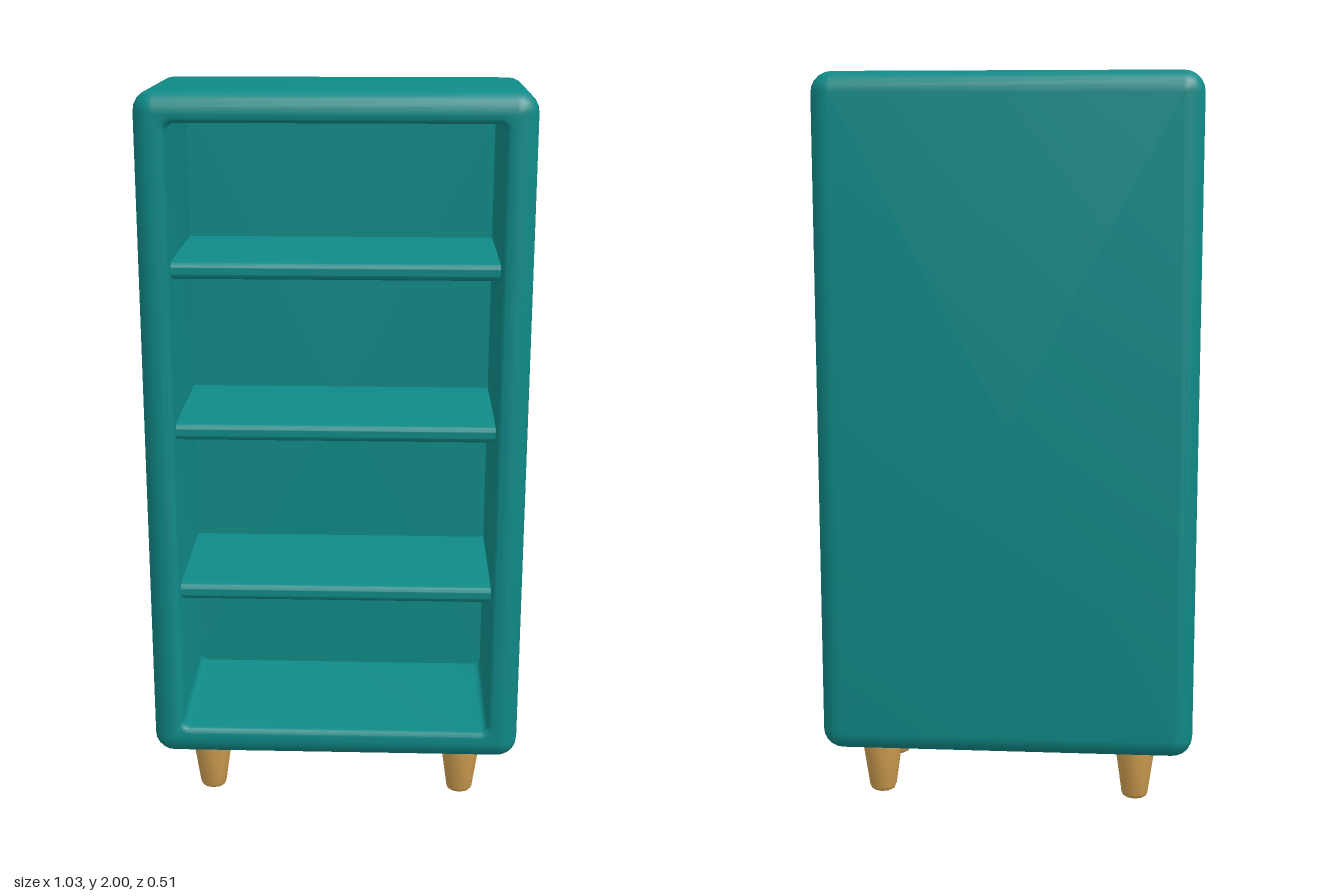
import * as THREE from 'three';
import { toCreasedNormals } from 'three/addons/utils/BufferGeometryUtils.js';

const teal = new THREE.MeshStandardMaterial({ color: 0x0f8a87 });
teal.name = 'teal paint';
const wood = new THREE.MeshStandardMaterial({ color: 0xd4a253 });
wood.name = 'light wood';

const CORNER_STEPS = 5;

// Counterclockwise rounded rectangle in the plane z
function ring(halfW, halfH, r, z, cy) {
  const pts = [];
  const signs = [[1, 1], [-1, 1], [-1, -1], [1, -1]];
  signs.forEach(([sx, sy], q) => {
    for (let i = 0; i <= CORNER_STEPS; i++) {
      const a = (q + i / CORNER_STEPS) * Math.PI / 2;
      pts.push([sx * (halfW - r) + r * Math.cos(a), cy + sy * (halfH - r) + r * Math.sin(a), z]);
    }
  });
  return pts;
}

// Skin joining consecutive rings
function loft(rings) {
  const n = rings[0].length;
  const index = [];
  for (let i = 0; i < rings.length - 1; i++) {
    for (let j = 0; j < n; j++) {
      const a = i * n + j, b = i * n + (j + 1) % n;
      index.push(a, b, b + n, a, b + n, a + n);
    }
  }
  const geo = new THREE.BufferGeometry();
  geo.setAttribute('position', new THREE.Float32BufferAttribute(rings.flat(2), 3));
  geo.setIndex(index);
  return toCreasedNormals(geo, 0.6);
}

// Hollow cabinet: rounded outer shell, front rim, rounded lip, inner walls and back
function cabinetGeometry() {
  const W = 0.515, H = 0.9275, D = 0.257, R = 0.056, cy = 1.0725;
  const w = 0.43, h = 0.843, lip = 0.017, innerR = 0.02, icy = 1.076, innerBack = -0.2;
  const steps = 5;
  const rings = [ring(0, 0, 0, -D, cy)];
  for (let i = 0; i <= steps; i++) {
    const t = i / steps * Math.PI / 2, s = R * (1 - Math.sin(t));
    rings.push(ring(W - s, H - s, R - s, -D + R * (1 - Math.cos(t)), cy));
  }
  for (let i = 0; i <= steps; i++) {
    const t = i / steps * Math.PI / 2, s = R * (1 - Math.cos(t));
    rings.push(ring(W - s, H - s, R - s, D - R * (1 - Math.sin(t)), cy));
  }
  for (let i = 0; i <= steps; i++) {
    const t = i / steps * Math.PI / 2, s = lip * (1 - Math.sin(t));
    rings.push(ring(w + s, h + s, innerR + s, D - lip * (1 - Math.cos(t)), icy));
  }
  rings.push(ring(w, h, innerR, innerBack, icy));
  rings.push(ring(0, 0, 0, innerBack, icy));
  return loft(rings);
}

// Shelf board with a rounded front edge, running along x
function shelfGeometry() {
  const t = 0.046, r = 0.018, back = -0.2, front = 0.205, len = 0.86;
  const s = new THREE.Shape();
  s.moveTo(-back, -t / 2);
  s.lineTo(-back, t / 2);
  s.lineTo(-front + r, t / 2);
  s.absarc(-front + r, t / 2 - r, r, Math.PI / 2, Math.PI, false);
  s.absarc(-front + r, -t / 2 + r, r, Math.PI, Math.PI * 1.5, false);
  s.closePath();
  const geo = new THREE.ExtrudeGeometry(s, { depth: len, bevelEnabled: false, curveSegments: 5 });
  geo.translate(0, 0, -len / 2);
  geo.rotateY(Math.PI / 2);
  return toCreasedNormals(geo, 0.6);
}

// Tapered foot with a softened lower rim
function legGeometry() {
  const profile = [[0, 0], [0.027, 0], [0.034, 0.004], [0.038, 0.013], [0.058, 0.15], [0, 0.15]]
    .map(([x, y]) => new THREE.Vector2(x, y));
  return toCreasedNormals(new THREE.LatheGeometry(profile, 10), 0.75);
}

export function createModel() {
  const model = new THREE.Group();
  model.name = 'bookcase';

  const add = (geo, mat, name, x = 0, y = 0, z = 0) => {
    const mesh = new THREE.Mesh(geo, mat);
    mesh.name = name;
    mesh.position.set(x, y, z);
    model.add(mesh);
  };

  add(cabinetGeometry(), teal, 'cabinet');

  const shelf = shelfGeometry();
  [['lowerShelf', 0.628], ['middleShelf', 1.092], ['upperShelf', 1.533]]
    .forEach(([name, y]) => add(shelf, teal, name, 0, y, 0));

  const leg = legGeometry();
  for (const [side, x] of [['Left', 0.358], ['Right', -0.358]]) {
    for (const [end, z] of [['front', 0.145], ['back', -0.145]]) {
      add(leg, wood, `${end}${side}Leg`, x, 0, z);
    }
  }
  return model;
}
